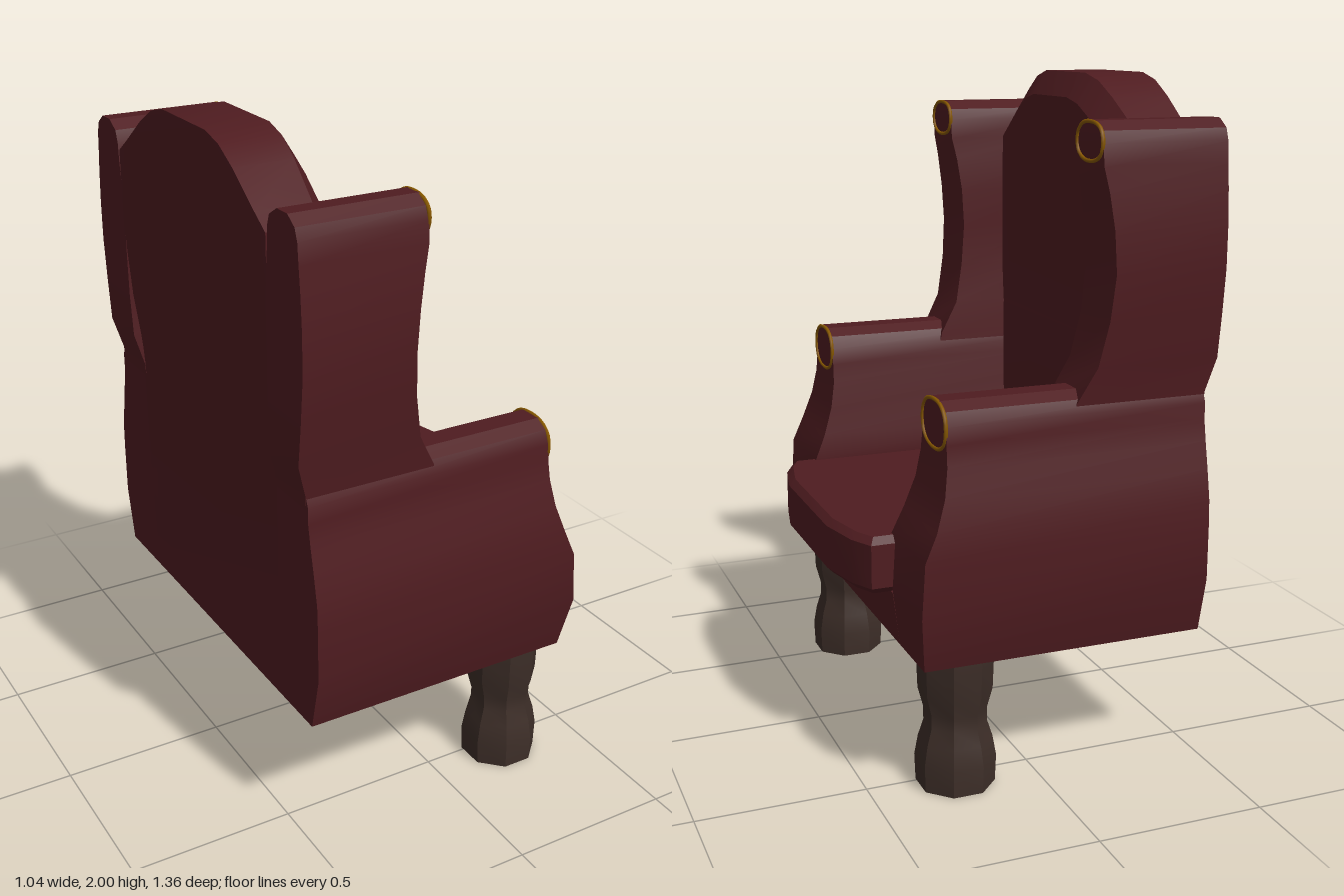
import * as THREE from 'three';
import { toCreasedNormals } from 'three/addons/utils/BufferGeometryUtils.js';

const leather = new THREE.MeshStandardMaterial({ color: 0x4f1c20 });
const wood = new THREE.MeshStandardMaterial({ color: 0x3d2e28 });
const brass = new THREE.MeshStandardMaterial({ color: 0x8a5a00 });

function addMesh(parent, name, geometry, material) {
  const mesh = new THREE.Mesh(geometry, material);
  mesh.name = name;
  parent.add(mesh);
  return mesh;
}

// Stack of rectangles, each level being [y, zInner, zOuter, xBack, xFront]; side = -1 mirrors it in z.
function stack(levels, side = 1) {
  const pos = [], index = [], n = levels.length;
  for (const [y, zi, zo, xb, xf] of levels) {
    const a = side > 0 ? zi : -zo, b = side > 0 ? zo : -zi;
    pos.push(xb, y, a, xb, y, b, xf, y, b, xf, y, a);
  }
  for (let l = 0; l < n - 1; l++) {
    for (let k = 0; k < 4; k++) {
      const i = l * 4 + k, j = l * 4 + (k + 1) % 4;
      index.push(i, j, j + 4, i, j + 4, i + 4);
    }
  }
  const t = (n - 1) * 4;
  index.push(0, 2, 1, 0, 3, 2, t, t + 1, t + 2, t, t + 2, t + 3);
  const g = new THREE.BufferGeometry();
  g.setAttribute('position', new THREE.Float32BufferAttribute(pos, 3));
  g.setIndex(index);
  return toCreasedNormals(g, 0.5);
}

const ARM = [
  [0.40, 0.43, 0.64, -0.49, 0.37], [0.57, 0.43, 0.68, -0.49, 0.39],
  [0.73, 0.395, 0.68, -0.49, 0.38], [0.81, 0.405, 0.677, -0.49, 0.345],
  [0.90, 0.42, 0.66, -0.49, 0.315], [0.98, 0.43, 0.643, -0.49, 0.302],
  [1.04, 0.44, 0.632, -0.49, 0.30], [1.09, 0.445, 0.632, -0.49, 0.30],
  [1.13, 0.465, 0.615, -0.49, 0.30], [1.152, 0.505, 0.575, -0.49, 0.30]
];

const WING = [
  [1.08, 0.445, 0.62, -0.49, -0.08], [1.12, 0.448, 0.623, -0.492, -0.09],
  [1.22, 0.455, 0.638, -0.52, -0.145], [1.35, 0.47, 0.655, -0.52, -0.17],
  [1.48, 0.473, 0.668, -0.52, -0.18], [1.60, 0.472, 0.668, -0.52, -0.172],
  [1.70, 0.478, 0.662, -0.52, -0.157], [1.77, 0.487, 0.655, -0.52, -0.142],
  [1.83, 0.49, 0.65, -0.52, -0.14], [1.865, 0.503, 0.637, -0.52, -0.14],
  [1.89, 0.545, 0.60, -0.52, -0.14]
];

// Arched back panel, its front edge drawn in to form a padded face
function backGeometry() {
  const half = [
    [0.43, 0.42], [0.45, 0.75], [0.455, 1.12], [0.47, 1.22], [0.48, 1.5],
    [0.48, 1.81], [0.42, 1.85], [0.30, 1.935], [0.22, 1.98], [0.14, 2.0]
  ];
  const outline = [...half, ...half.map(([u, v]) => [-u, v]).reverse()];
  const shape = new THREE.Shape(outline.map(([u, v]) => new THREE.Vector2(u, v)));
  const g = new THREE.ExtrudeGeometry(shape, { depth: 1, steps: 2, bevelEnabled: false });
  const p = g.attributes.position;
  for (let i = 0; i < p.count; i++) {
    let u = p.getX(i), v = p.getY(i);
    const w = p.getZ(i);
    let x = v < 1.15 ? -0.49 : -0.52;
    if (w > 0.25) x = -0.325 - 0.035 * (u / 0.48) ** 2;
    if (w > 0.75) {
      u *= v < 0.5 ? 0.78 : 0.86;
      v = 0.68 + (v - 0.42) * 0.79;
      x = -0.275 - 0.02 * (u / 0.41) ** 2;
    }
    p.setXYZ(i, x, v, -u);
  }
  return toCreasedNormals(g, 0.5);
}

// Seat cushion with a bowed front and softened edges
function cushionGeometry() {
  const b = 0.02;
  const front = [[0.44, 0.41], [0.47, 0.35], [0.50, 0.21], [0.50, -0.21], [0.47, -0.35], [0.44, -0.41]];
  const outline = [[-0.34, -0.41], [-0.34, 0.41], ...front];
  const shape = new THREE.Shape(outline.map(([x, z]) => new THREE.Vector2(x, -z)));
  const g = new THREE.ExtrudeGeometry(shape, {
    depth: 0.17 - 2 * b, bevelThickness: b, bevelSize: b, bevelSegments: 1
  });
  g.rotateX(-Math.PI / 2).translate(0, 0.56 + b, 0);
  return toCreasedNormals(g, 0.4);
}

// Turned eight-sided leg
function legGeometry() {
  const profile = [
    [0, 0], [0.107, 0], [0.11, 0.08], [0.1, 0.14], [0.085, 0.19],
    [0.085, 0.23], [0.1, 0.29], [0.104, 0.41], [0, 0.41]
  ];
  const k = 1 / Math.cos(Math.PI / 8);
  const g = new THREE.LatheGeometry(profile.map(([r, y]) => new THREE.Vector2(r * k, y)), 8, Math.PI / 8);
  return toCreasedNormals(g, 0.5);
}

// Thin oval trim around the end of a scroll
function trimGeometry(rz, ry) {
  const pts = [];
  for (let i = 0; i < 16; i++) {
    const a = i / 16 * Math.PI * 2, c = Math.cos(a), s = Math.sin(a);
    pts.push(new THREE.Vector3(0, ry * Math.sign(s) * Math.abs(s) ** 0.85, rz * Math.sign(c) * Math.abs(c) ** 0.85));
  }
  return new THREE.TubeGeometry(new THREE.CatmullRomCurve3(pts, true), 32, 0.006, 5, true);
}

export function createModel() {
  const chair = new THREE.Group();
  chair.name = 'wingArmchair';

  addMesh(chair, 'seatBase', stack([
    [0.40, -0.43, 0.43, -0.49, 0.37], [0.56, -0.43, 0.43, -0.49, 0.39]
  ]), leather);
  addMesh(chair, 'seatCushion', cushionGeometry(), leather);
  addMesh(chair, 'backrest', backGeometry(), leather);

  for (const side of [1, -1]) {
    const label = side < 0 ? 'Left' : 'Right';
    addMesh(chair, 'arm' + label, stack(ARM, side), leather);
    addMesh(chair, 'wing' + label, stack(WING, side), leather);
    addMesh(chair, 'frontLeg' + label, legGeometry(), wood).position.set(0.24, 0, side * 0.535);
    addMesh(chair, 'armTrim' + label, trimGeometry(0.092, 0.069), brass).position.set(0.301, 1.082, side * 0.538);
    addMesh(chair, 'wingTrim' + label, trimGeometry(0.079, 0.053), brass).position.set(-0.139, 1.834, side * 0.57);
  }
  return chair;
}
